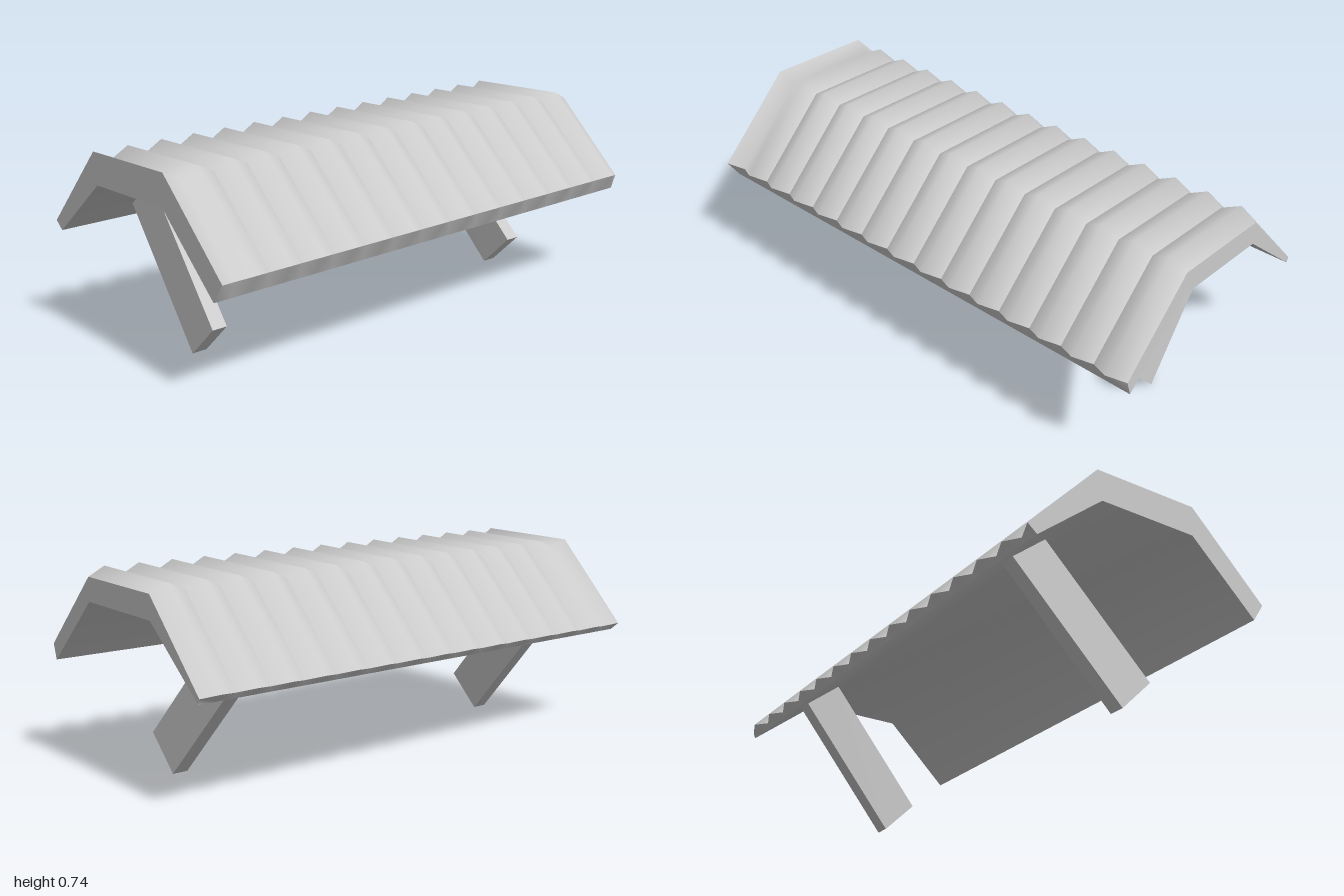
import * as THREE from 'three';

// Roof cross-sections as [z, y], from the front eave over the top to the back eave
const PEAK = [[0.52, 0.445], [0.21, 0.742], [-0.22, 0.73], [-0.517, 0.415]];
const VALLEY = [[0.488, 0.431], [0.2, 0.71], [-0.205, 0.7], [-0.488, 0.405]];
const INNER = [[0.47, 0.373], [0.2, 0.622], [-0.205, 0.612], [-0.48, 0.385]];
const FOLDS = 29;

const foldX = (i) => -1 + (2 * i) / FOLDS;
const outer = (i) => (i % 2 ? VALLEY : PEAK);
const at = (x, [z, y]) => [x, y, z];

// Smooth sheet through rows of points; it faces (along the row) x (towards the next row)
function sheet(rows) {
  const n = rows[0].length;
  const index = [];
  for (let r = 0; r < rows.length - 1; r++) {
    for (let c = 0; c < n - 1; c++) {
      const a = r * n + c;
      index.push(a, a + 1, a + n, a + 1, a + n + 1, a + n);
    }
  }
  const geo = new THREE.BufferGeometry();
  geo.setAttribute('position', new THREE.Float32BufferAttribute(rows.flat(2), 3));
  geo.setIndex(index);
  geo.computeVertexNormals();
  return geo;
}

export function createModel() {
  const gray = new THREE.MeshStandardMaterial({ color: 0xcccccc });
  gray.name = 'light gray';
  const model = new THREE.Group();
  model.name = 'corrugatedShelter';
  const roof = new THREE.Group();
  roof.name = 'roof';
  model.add(roof);

  const add = (parent, name, geo) => {
    const mesh = new THREE.Mesh(geo, gray);
    mesh.name = name;
    parent.add(mesh);
    return mesh;
  };

  // Corrugated top: rounded shading over each ridge, creased at the valleys
  for (let start = 0; start < FOLDS;) {
    const end = start === 0 ? 3 : start + 2;
    const folds = Array.from({ length: end - start + 1 }, (_, k) => start + k);
    add(roof, 'roofRidge', sheet([0, 1, 2, 3].map((j) => folds.map((i) => at(foldX(i), outer(i)[j])))));
    start = end;
  }

  // Flat underside and the two eave edges
  const all = Array.from({ length: FOLDS + 1 }, (_, i) => i);
  const innerRow = (j) => all.map((i) => at(foldX(i), INNER[j]));
  const outerRow = (j) => all.map((i) => at(foldX(i), outer(i)[j]));
  add(roof, 'roofUnderside', sheet([3, 2, 1, 0].map((j) => [at(-1, INNER[j]), at(1, INNER[j])])));
  add(roof, 'frontEave', sheet([innerRow(0), outerRow(0)]));
  add(roof, 'backEave', sheet([outerRow(3), innerRow(3)]));

  // End caps
  add(roof, 'leftEnd', sheet([INNER.map((p) => at(1, p)), VALLEY.map((p) => at(1, p))]));
  add(roof, 'rightEnd', sheet([PEAK.map((p) => at(-1, p)), INNER.map((p) => at(-1, p))]));

  // Slanted legs: a box sheared along z and splayed outwards at the foot
  for (const side of [-1, 1]) {
    const geo = new THREE.BoxGeometry(1, 1, 1).toNonIndexed();
    const pos = geo.attributes.position;
    for (let i = 0; i < pos.count; i++) {
      const top = pos.getY(i) > 0;
      const front = pos.getZ(i) > 0;
      const x = side * (top ? 0.722 : 0.76) + pos.getX(i) * 0.06;
      if (top) pos.setXYZ(i, x, front ? 0.58 : 0.462, front ? -0.26 : -0.395);
      else pos.setXYZ(i, x, front ? 0.127 : 0, front ? 0.155 : 0.025);
    }
    geo.computeVertexNormals();
    add(model, side > 0 ? 'leftLeg' : 'rightLeg', geo);
  }
  return model;
}
